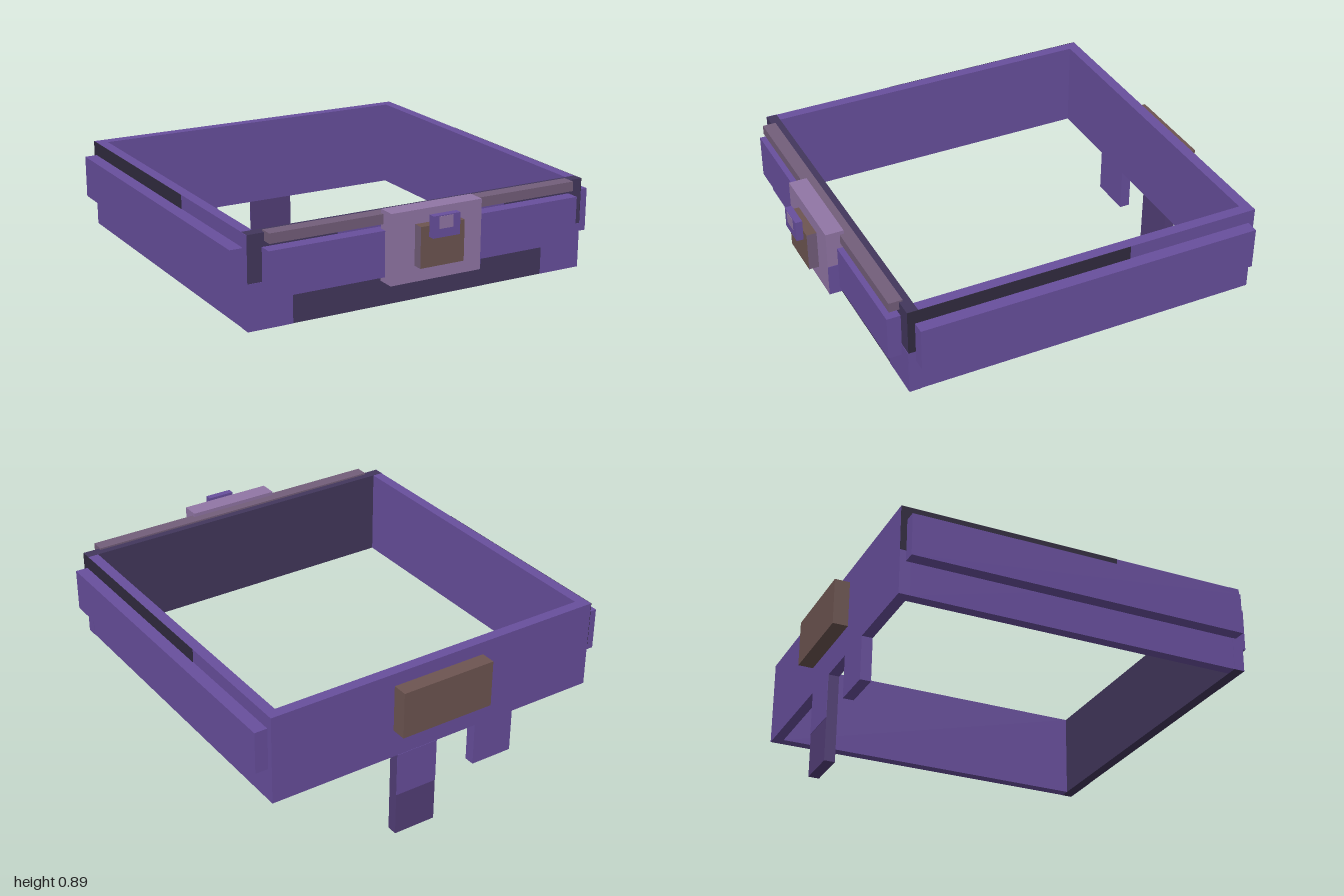
import * as THREE from 'three';

const mat = (name, color) => {
  const m = new THREE.MeshStandardMaterial({ color });
  m.name = name;
  return m;
};

export function createModel() {
  const purple = mat('purple', 0x684f9d);
  const midPurple = mat('midPurple', 0x533f78);
  const dark = mat('darkViolet', 0x42375c);
  const charcoal = mat('charcoal', 0x312b3f);
  const mauve = mat('lightMauve', 0x9176a5);
  const dusk = mat('duskyMauve', 0x735e7a);
  const brown = mat('brown', 0x6d5551);

  const group = new THREE.Group();
  // box given by its two limits on each axis
  const box = (name, [x0, x1], [y0, y1], [z0, z1], material) => {
    const mesh = new THREE.Mesh(new THREE.BoxGeometry(x1 - x0, y1 - y0, z1 - z0), material);
    mesh.name = name;
    mesh.position.set((x0 + x1) / 2, (y0 + y1) / 2, (z0 + z1) / 2);
    group.add(mesh);
    return mesh;
  };

  const W = 0.865, T = 0.052, Y0 = 0.435, YM = 0.65, Y1 = 0.868;
  const ZB = -0.926, ZF = 0.802, E = 0.002;
  const wall = [Y0, Y1], upper = [YM, Y1], lower = [Y0, YM];

  // Belt ring: four walls
  box('backWall', [-W, W], wall, [ZB, ZB + T], purple);
  box('frontWall', [-W, W], wall, [ZF - T, ZF], dark);
  for (const s of [-1, 1]) {
    const side = s < 0 ? 'right' : 'left';
    const span = (a, b) => (s < 0 ? [-b, -a] : [a, b]);
    box(side + 'Wall', span(W - T, W), wall, [ZB + T, ZF - T], purple);
    // Long padded plate on the outside of the wall
    box(side + 'Plate', span(W, 0.928), [0.597, 0.802], [-0.897, 0.768], purple);
    // Painted panels on the front corners
    box(side + 'FrontCorner', span(YM, W), lower, [ZF, ZF + E], purple);
  }

  // Painted panels on the front and the outer sides
  box('frontCentrePanel', [-0.432, 0.432], upper, [ZF, ZF + E], purple);
  box('leftDarkPanel', [W, W + E], upper, [-0.275, ZF], charcoal);
  box('leftEndPanel', [W, W + E], lower, [ZF - T, ZF], purple);
  box('rightDarkPanel', [-W - E, -W], upper, [ZB, 0.14], charcoal);
  box('rightEndPanel', [-W - E, -W], wall, [ZF - T, ZF], purple);

  // Hanging tabs at the back
  box('shortTab', [-0.432, -0.216], [0.22, Y0], [ZB, ZB + T], purple);
  box('longTab', [0, 0.216], [0, Y0], [ZB, ZB + T], midPurple);
  box('longTabBackPanel', [0, 0.216], [0.216, Y0], [ZB - E, ZB], purple);

  // Pouch at the back
  box('backPouch', [-0.24, 0.24], [0.575, 0.805], [-1, ZB], brown);

  // Front plate and trim
  box('frontPlate', [-0.795, 0.795], [0.592, 0.805], [ZF, 0.867], purple);
  box('frontTrim', [-0.783, 0.783], [0.83, 0.876], [0.785, 0.85], dusk);

  // Buckle with stacked centre pieces
  box('buckle', [-0.232, 0.232], [0.565, 0.894], [0.83, 0.917], mauve);
  box('buckleSidePanel', [0.232, 0.232 + E], [0.565, 0.717], [0.83, 0.917], purple);
  box('buckleCentre', [-0.112, 0.112], [0.64, 0.83], [0.917, 0.965],
    [dusk, dusk, brown, brown, brown, brown]);
  box('buckleStud', [-0.07, 0.067], [0.78, 0.88], [0.965, 0.998], purple);
  box('studHighlight', [-0.04, 0.03], [0.82, 0.876], [0.998, 1], mauve);

  return group;
}
